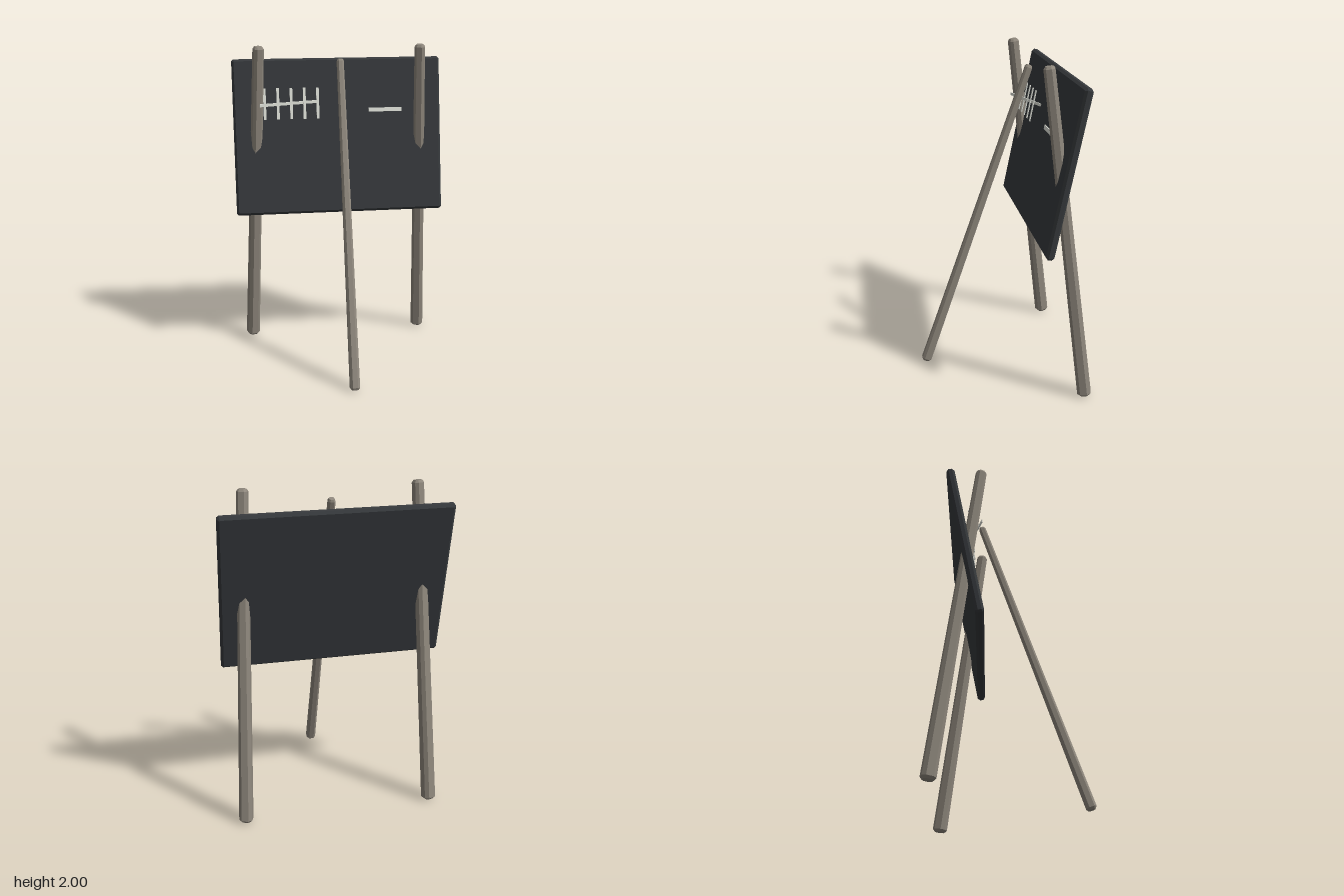
import * as THREE from 'three';

const material = (color) => new THREE.MeshStandardMaterial({ color, flatShading: true });
const wood = material(0x8f887d);
const slate = material(0x36393c);
const chalk = material(0xe2e4dc);

// Box along z, centred, with cut corners and bevelled ends
function chamferedBox(w, h, d, cut, bevel) {
  const x = w / 2, y = h / 2;
  const shape = new THREE.Shape([
    [x, -y + cut], [x, y - cut], [x - cut, y], [-x + cut, y],
    [-x, y - cut], [-x, -y + cut], [-x + cut, -y], [x - cut, -y],
  ].map(([a, b]) => new THREE.Vector2(a, b)));
  const geometry = new THREE.ExtrudeGeometry(shape, {
    depth: d - 2 * bevel, bevelEnabled: true, bevelSegments: 1,
    bevelThickness: bevel, bevelSize: bevel, bevelOffset: -bevel,
  });
  return geometry.translate(0, 0, bevel - d / 2);
}

// Tapered leg running from its foot to its top
function leg(name, foot, top, footWidth, topWidth) {
  const a = new THREE.Vector3(...foot), b = new THREE.Vector3(...top);
  const length = a.distanceTo(b);
  const geometry = chamferedBox(1, 1, length, 0.24, 0.014);
  const p = geometry.attributes.position;
  for (let i = 0; i < p.count; i++) {
    const t = p.getZ(i) / length + 0.5;
    let s = THREE.MathUtils.lerp(footWidth, topWidth, t);
    // Narrow the end caps
    if (t < 0.001 || t > 0.999) s *= 0.72;
    p.setX(i, p.getX(i) * s);
    p.setY(i, p.getY(i) * s);
  }
  geometry.computeVertexNormals();
  const mesh = new THREE.Mesh(geometry, wood);
  mesh.name = name;
  mesh.position.copy(a).lerp(b, 0.5);
  mesh.lookAt(b);
  return mesh;
}

// Thin chalk-coloured strip
function strip(name, size, position, tilt = 0, turn = 0) {
  const mesh = new THREE.Mesh(new THREE.BoxGeometry(...size), chalk);
  mesh.name = name;
  mesh.position.set(...position);
  mesh.rotation.set(tilt, turn, 0);
  return mesh;
}

export function createModel() {
  const model = new THREE.Group();
  model.name = 'easelBoard';
  const lean = -0.2;

  // Legs
  for (const [name, s] of [['leftLeg', 1], ['rightLeg', -1]]) {
    model.add(leg(name, [s * 0.58, 0.01, -0.443], [s * 0.498, 1.996, -0.2], 0.08, 0.062));
  }
  model.add(leg('propLeg', [0, 0.01, 0.462], [0, 1.915, -0.2], 0.06, 0.042));

  // Board leaning backwards
  const board = new THREE.Mesh(chamferedBox(1.325, 0.98, 0.05, 0.012, 0.014), slate);
  board.name = 'board';
  board.position.set(0, 1.42, -0.2875);
  board.rotation.x = lean;
  model.add(board);

  // Tally: five strokes and a crossing bar
  const tally = new THREE.Group();
  tally.name = 'tallyMarks';
  for (let i = 0; i < 5; i++) {
    tally.add(strip('tallyStroke', [0.017, 0.194, 0.006], [-0.466 + i * 0.083, 1.637, -0.255], lean));
  }
  tally.add(strip('tallyBar', [0.389, 0.018, 0.006], [-0.315, 1.638, -0.25], 0, 0.315));
  model.add(tally);

  // Single dash
  model.add(strip('dashMark', [0.212, 0.025, 0.006], [0.296, 1.587, -0.255], lean));

  return model;
}
